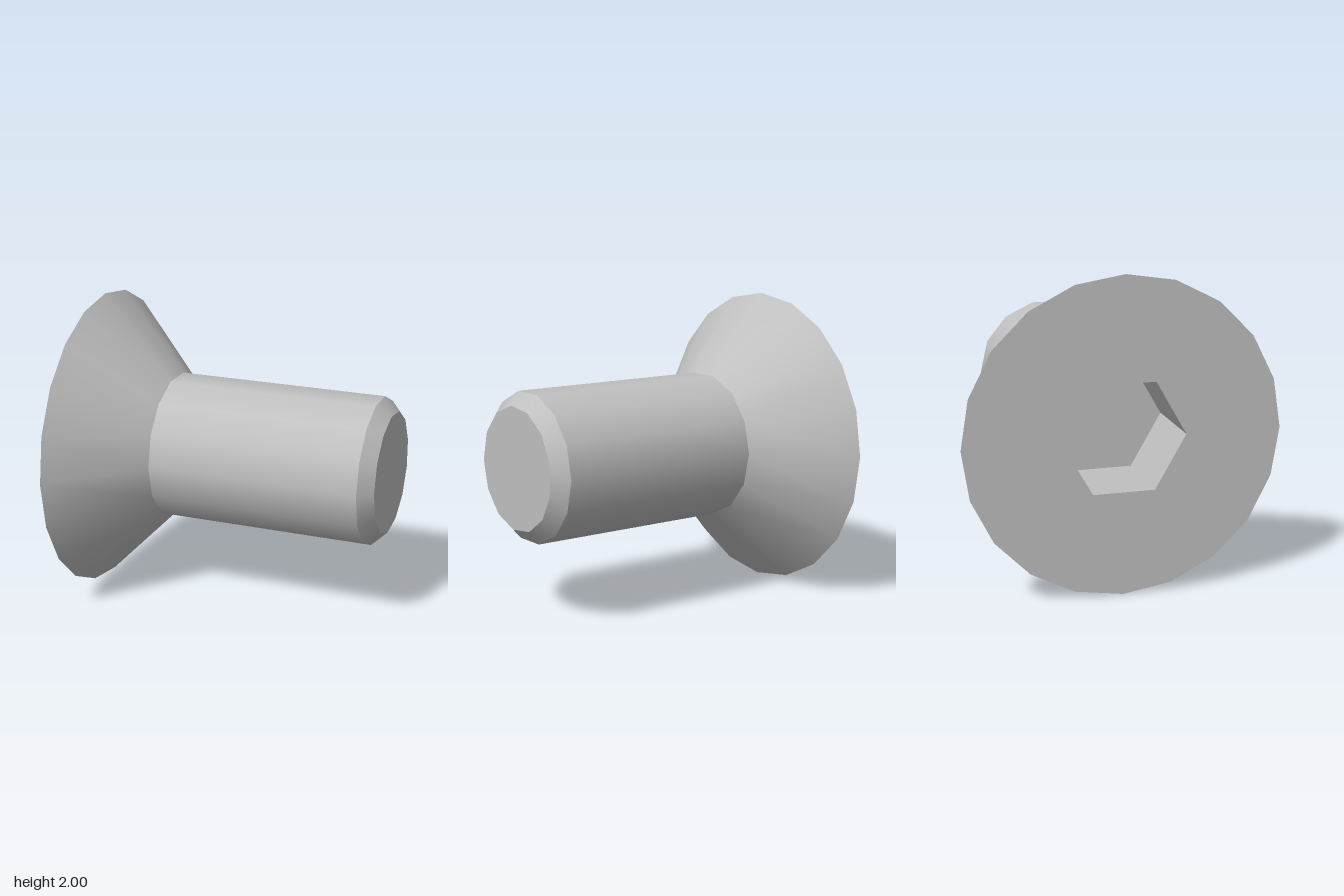
import * as THREE from 'three';

const AXIS_Y = 1;

// Surface between two regular polygon rings around the x axis; the rings may have different side counts.
function bridge(a, b, flat = false) {
  const pos = [], nor = [], idx = [];
  const slope = (a.r - b.r) / (b.x - a.x);
  for (const ring of [a, b]) {
    for (let i = 0; i <= ring.n; i++) {
      const t = (i / ring.n) * Math.PI * 2;
      pos.push(ring.x, ring.r * Math.sin(t), ring.r * Math.cos(t));
      const n = new THREE.Vector3(slope, Math.sin(t), Math.cos(t)).normalize();
      nor.push(n.x, n.y, n.z);
    }
  }
  const off = a.n + 1;
  let i = 0, j = 0;
  while (i < a.n || j < b.n) {
    const stepA = j >= b.n || (i < a.n && (i + 1) / a.n <= (j + 1) / b.n);
    if (stepA) {
      idx.push(i, off + j, i + 1);
      i++;
    } else {
      idx.push(i, off + j, off + j + 1);
      j++;
    }
  }
  let g = new THREE.BufferGeometry();
  g.setAttribute('position', new THREE.Float32BufferAttribute(pos, 3));
  g.setAttribute('normal', new THREE.Float32BufferAttribute(nor, 3));
  g.setIndex(idx);
  if (flat) {
    g = g.toNonIndexed();
    g.computeVertexNormals();
  }
  return g;
}

// Corner points of a regular polygon, first corner at angle zero
function polygon(r, n) {
  return Array.from({ length: n }, (_, i) => {
    const t = (i / n) * Math.PI * 2;
    return new THREE.Vector2(r * Math.cos(t), r * Math.sin(t));
  });
}

export function createModel() {
  const group = new THREE.Group();
  group.name = 'countersunkScrew';
  const steel = new THREE.MeshStandardMaterial({ color: 0xc0c0c0 });
  steel.name = 'steel';

  const add = (name, geometry) => {
    const mesh = new THREE.Mesh(geometry, steel);
    mesh.name = name;
    mesh.position.y = AXIS_Y;
    group.add(mesh);
  };

  const headRim = { x: -1, r: 1, n: 20 };
  const neck = { x: -0.49, r: 0.487, n: 14 };
  const shankEnd = { x: 0.91, r: 0.487, n: 14 };
  const tip = { x: 1, r: 0.4, n: 13 };
  const socketRim = { x: -1, r: 0.392, n: 6 };
  const socketEnd = { x: -0.5, r: 0.392, n: 6 };

  // Outer body
  add('headCone', bridge(headRim, neck));
  add('shank', bridge(neck, shankEnd));
  add('tipChamfer', bridge(shankEnd, tip));
  add('tipFace', new THREE.CircleGeometry(tip.r, tip.n, Math.PI)
    .rotateY(Math.PI / 2).translate(tip.x, 0, 0));

  // Flat head face with the hexagonal opening
  const face = new THREE.Shape(polygon(headRim.r, headRim.n));
  face.holes.push(new THREE.Path(polygon(socketRim.r, socketRim.n)));
  add('headFace', new THREE.ShapeGeometry(face)
    .rotateY(-Math.PI / 2).translate(headRim.x, 0, 0));

  // Hex socket: rings passed in reverse so the walls face inward
  add('socketWalls', bridge(socketEnd, socketRim, true));
  add('socketFloor', new THREE.CircleGeometry(socketEnd.r, socketEnd.n)
    .rotateY(-Math.PI / 2).translate(socketEnd.x, 0, 0));

  return group;
}
